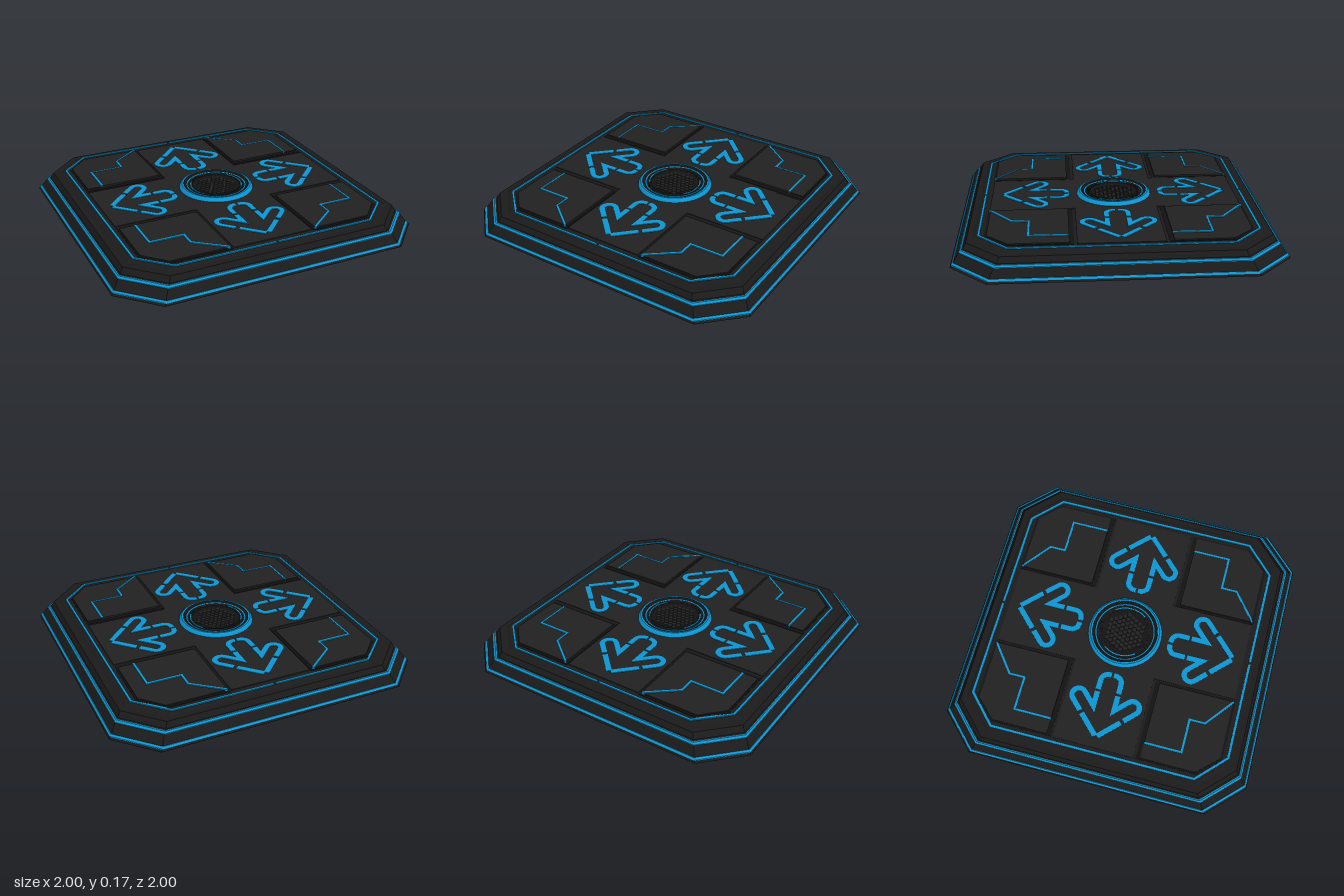
import * as THREE from 'three';
import { mergeGeometries } from 'three/addons/utils/BufferGeometryUtils.js';

const mat = (color) => new THREE.MeshStandardMaterial({ color, side: THREE.DoubleSide });

// Bands between octagons; profile rows are [half width, height], from bottom to top
function octagonLoft(profile) {
  const pos = [];
  const ring = ([h, y]) => {
    const f = h * 0.775;
    return [[h, -f], [h, f], [f, h], [-f, h], [-h, f], [-h, -f], [-f, -h], [f, -h]].map(([x, z]) => [x, y, z]);
  };
  for (let k = 0; k < profile.length - 1; k++) {
    const lo = ring(profile[k]), hi = ring(profile[k + 1]);
    for (let i = 0; i < 8; i++) {
      const j = (i + 1) % 8;
      if (profile[k + 1][0] > 0) pos.push(...lo[i], ...hi[i], ...hi[j]);
      if (profile[k][0] > 0) pos.push(...lo[i], ...hi[j], ...lo[j]);
    }
  }
  const g = new THREE.BufferGeometry();
  g.setAttribute('position', new THREE.Float32BufferAttribute(pos, 3));
  g.computeVertexNormals();
  return g;
}

// Flat plate from [x, z] outline points, between two heights
function plate(points, y0, y1) {
  const shape = new THREE.Shape(points.map(([x, z]) => new THREE.Vector2(x, -z)));
  return new THREE.ExtrudeGeometry(shape, { depth: y1 - y0, bevelEnabled: false })
    .rotateX(-Math.PI / 2).translate(0, y0, 0);
}

// Plate of constant width along an open [x, z] path, with mitred corners
function ribbon(path, width, y0, y1) {
  const p = path.map(([x, z]) => new THREE.Vector2(x, z));
  const left = [], right = [];
  const normal = (a, b) => { const d = b.clone().sub(a).normalize(); return new THREE.Vector2(-d.y, d.x); };
  p.forEach((q, i) => {
    const n1 = normal(p[Math.max(i - 1, 0)], p[Math.max(i, 1)]);
    const n2 = i < p.length - 1 ? normal(q, p[i + 1]) : n1;
    const m = n1.clone().add(n2).normalize();
    m.multiplyScalar(width / 2 / m.dot(n1));
    left.push([q.x + m.x, q.y + m.y]);
    right.unshift([q.x - m.x, q.y - m.y]);
  });
  return plate([...left, ...right], y0, y1);
}

function arc(cx, cz, r, from, to, n = 10) {
  return Array.from({ length: n + 1 }, (_, i) => {
    const a = from + (to - from) * i / n;
    return [cx + r * Math.cos(a), cz + r * Math.sin(a)];
  });
}

export function createModel() {
  const model = new THREE.Group();
  const body = mat(0x1a1a1a), panel = mat(0x212121), groove = mat(0x121212), glow = mat(0x0b94d0);
  const add = (name, geometry, material, parent = model) => {
    const mesh = new THREE.Mesh(geometry, material);
    mesh.name = name;
    parent.add(mesh);
    return mesh;
  };

  // Stepped octagonal base
  add('base', octagonLoft([[0, 0], [1, 0], [0.993, 0.012], [0.981, 0.022], [0.948, 0.073], [0.935, 0.086],
    [0.925, 0.09], [0.907, 0.124], [0.872, 0.126], [0.855, 0.136], [0, 0.136]]), body);

  // Light strips around the sloping sides
  add('lowerLightStrip', octagonLoft([[0.993, 0.012], [0.992, 0.016], [0.984, 0.023], [0.979, 0.023]]), glow);
  add('upperLightStrip', octagonLoft([[0.948, 0.073], [0.948, 0.077], [0.939, 0.087], [0.933, 0.087]]), glow);

  // Deck light strip in two halves with a small gap
  for (const s of [1, -1]) {
    const path = [[0.008, -0.838], [0.645, -0.838], [0.827, -0.662], [0.827, 0.662], [0.645, 0.838], [0.008, 0.838]];
    add('deckLightStrip', ribbon(path.map(([x, z]) => [x * s, z]), 0.014, 0.134, 0.143), glow);
  }

  // Raised cross carrying the arrows
  const a = 0.26, b = 0.795;
  add('crossPlate', plate([[-a, -b], [a, -b], [a, -a], [b, -a], [b, a], [a, a],
    [a, b], [-a, b], [-a, a], [-b, a], [-b, -a], [-a, -a]], 0.134, 0.141), panel);

  // Four corner panels, each split by a stepped light line
  const line = [[0.282, 0.795], [0.468, 0.648], [0.468, 0.547], [0.686, 0.547], [0.686, 0.305]];
  for (const sx of [1, -1]) for (const sz of [1, -1]) {
    const corner = new THREE.Group();
    corner.name = 'cornerPanel';
    model.add(corner);
    const flip = (pts) => pts.map(([x, z]) => [x * sx, z * sz]);
    add('panelTrim', plate(flip([[0.268, 0.278], [0.795, 0.278], [0.795, 0.67], [0.67, 0.805], [0.268, 0.805]]),
      0.134, 0.139), groove, corner);
    add('outerPanel', plate(flip([[0.282, 0.79], [0.66, 0.79], [0.785, 0.66], [0.785, 0.305],
      [0.686, 0.305], [0.686, 0.547], [0.468, 0.547], [0.468, 0.648]]), 0.136, 0.146), panel, corner);
    add('innerPanel', plate(flip([[0.282, 0.305], ...line.slice().reverse()]), 0.136, 0.15), panel, corner);
    add('panelLightLine', ribbon(flip(line), 0.013, 0.138, 0.152), glow, corner);
  }

  // Four broken-outline arrows pointing outward
  const cx = -0.178, cz = -0.487, r = 0.044, tip = cx + cz - r * Math.SQRT2;
  const halfArrow = [
    [[-0.007, tip + 0.007], [-0.128, tip + 0.128]],
    [[-0.143, tip + 0.143], ...arc(cx, cz, r, Math.PI * 1.25, Math.PI * 0.25), [-0.068, -0.535], [-0.068, -0.435]],
    [[-0.068, -0.42], ...arc(-0.02, -0.356, 0.048, Math.PI, Math.PI / 2), [-0.007, -0.308]],
  ];
  for (let i = 0; i < 4; i++) {
    const arrow = new THREE.Group();
    arrow.name = 'arrow';
    arrow.rotation.y = i * Math.PI / 2;
    model.add(arrow);
    for (const s of [1, -1]) for (const part of halfArrow) {
      add('arrowSegment', ribbon(part.map(([x, z]) => [x * s, z]), 0.034, 0.138, 0.145), glow, arrow);
    }
  }

  // Round centre: glowing rim, dark dished wall and arc lights
  const lathe = (pts) => new THREE.LatheGeometry(pts.map(([x, y]) => new THREE.Vector2(x, y)), 64);
  add('centreRim', lathe([[0.244, 0.136], [0.24, 0.152], [0.226, 0.165]]), glow);
  add('centreRimTop', lathe([[0.226, 0.165], [0.214, 0.165]]), glow);
  add('centreWall', lathe([[0.214, 0.165], [0.204, 0.156], [0.15, 0.152], [0.14, 0.143], [0, 0.143]]), groove);
  add('innerLightRing', lathe([[0.196, 0.154], [0.195, 0.158], [0.189, 0.158], [0.188, 0.154]]), glow);
  for (const s of [0, Math.PI]) {
    add('arcLight', ribbon(arc(0, 0, 0.167, s - 0.65, s + 0.65, 24), 0.007, 0.15, 0.157), glow);
  }

  // Ring of small grip ribs
  const ribs = [];
  for (let i = 0; i < 60; i++) {
    ribs.push(new THREE.BoxGeometry(0.024, 0.004, 0.007).translate(0.167, 0.1535, 0).rotateY(i * Math.PI / 30));
  }
  add('gripRibs', mergeGeometries(ribs), body);

  // Hexagonal grille in the middle
  const cells = [], pitch = 0.031;
  for (let row = -5; row <= 5; row++) for (let col = -5; col <= 5; col++) {
    const x = (col + (row & 1 ? 0.5 : 0)) * pitch, z = row * pitch * 0.866;
    if (Math.hypot(x, z) < 0.128) {
      cells.push(new THREE.CylinderGeometry(0.0145, 0.0155, 0.005, 6).toNonIndexed().translate(x, 0.1445, z));
    }
  }
  const grille = mergeGeometries(cells);
  grille.computeVertexNormals();
  add('hexGrille', grille, panel);

  return model;
}
